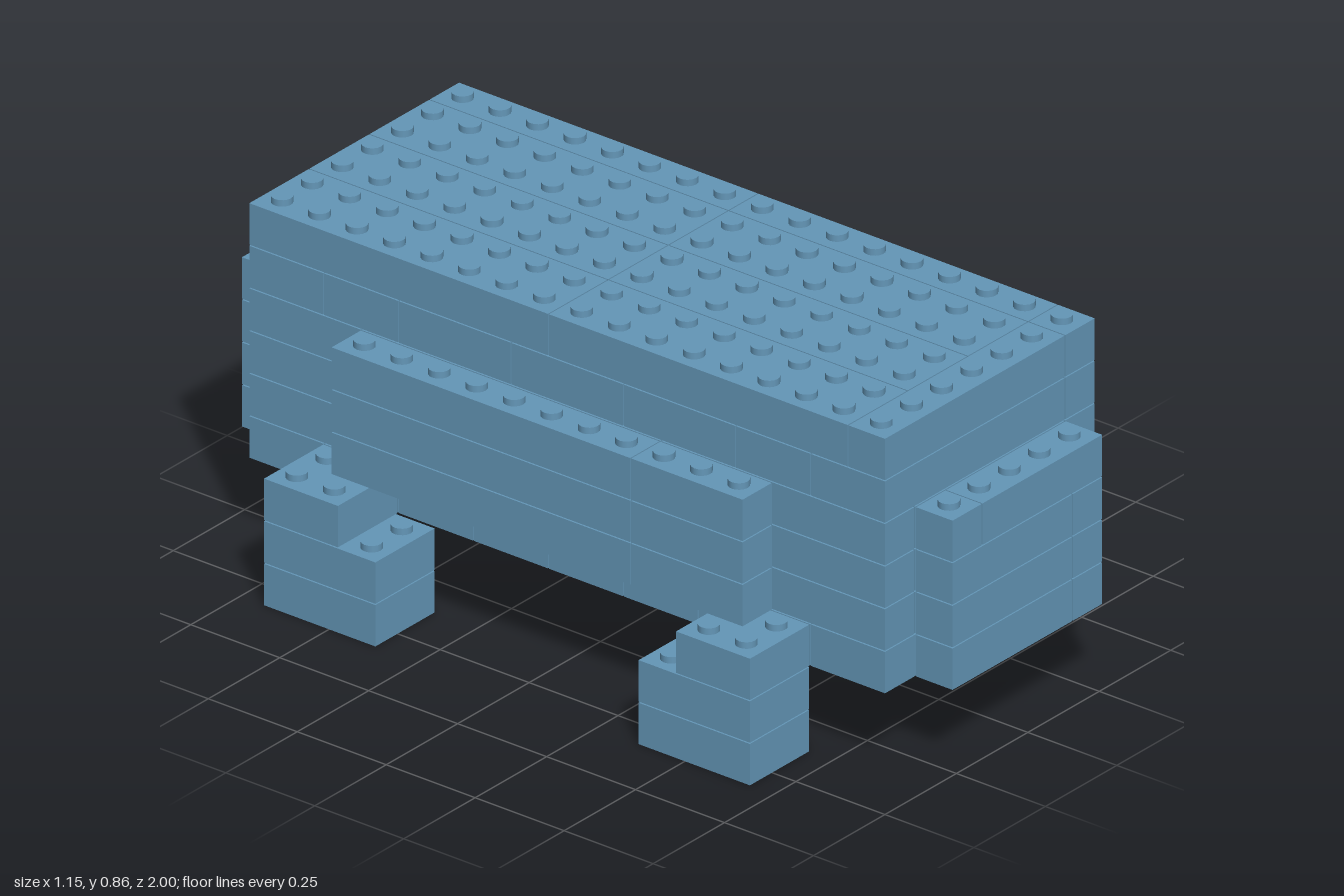
import * as THREE from 'three';
import { mergeGeometries } from 'three/addons/utils/BufferGeometryUtils.js';

const U = 2 / 19;        // one stud pitch, also one brick height
const GAP = 0.003;       // seam between bricks
const STUD_R = 0.025, STUD_H = 0.016;

export function createModel() {
  const model = new THREE.Group();
  const blue = new THREE.MeshStandardMaterial({ color: 0x6497b8 });
  blue.name = 'steel blue';

  const parts = {};               // part name -> list of bricks
  const filled = new Set();       // occupied cells, to find exposed studs
  const key = (x, layer, z) => `${x},${layer},${z}`;

  // a brick spans x0..x1 and z0..z1 in studs, on one layer
  function brick(part, layer, x0, x1, z0, z1) {
    (parts[part] ??= []).push({ layer, x0, x1, z0, z1 });
    for (let x = x0 + 0.5; x < x1; x++)
      for (let z = z0 + 0.5; z < z1; z++) filled.add(key(x, layer, z));
  }
  // a grid of bricks between lists of cuts
  function bricks(part, layer, xs, zs) {
    for (let i = 0; i + 1 < xs.length; i++)
      for (let j = 0; j + 1 < zs.length; j++)
        brick(part, layer, xs[i], xs[i + 1], zs[j], zs[j + 1]);
  }

  // main body, layers 2 to 5
  bricks('floor', 2, [-3.5, 2.5], [-8.5, -6.5, -4.5, -2.5, -0.5, 1.5, 3.5, 4.5, 6.5, 8.5]);
  bricks('floor', 2, [2.5, 3.5], [-8.5, -4.5, 4.5, 8.5]);
  for (let layer = 3; layer <= 5; layer++) {
    const shift = layer % 2 ? 0 : 2;
    bricks('body', layer, [-3.5, -2.5, 2.5, 3.5], [-8.5, -5.5 + shift, 2.5, 8.5]);
  }

  // upper body and studded roof
  bricks('upperBody', 6, [-3.5, 2.5, 3.5], [-8.5, -6.5, -4.5, -1.5, 1.5, 4.5, 6.5, 8.5]);
  bricks('roof', 7, [-3.5, -1.5, 0.5, 2.5, 3.5], [-8.5, -0.5, 7.5]);
  bricks('roof', 7, [-3.5, 2.5, 3.5], [7.5, 8.5]);

  // front and back blocks
  for (let layer = 2; layer <= 5; layer++) {
    const xs = [-2.5, layer === 5 ? -1.5 : 1.5, 2.5];
    bricks('frontBlock', layer, xs, [8.5, 9.5]);
    bricks('backBlock', layer, xs, [-9.5, -8.5]);
  }

  // side ledges and feet, mirrored left and right
  for (const [side, s] of [['left', 1], ['right', -1]]) {
    const span = (a, b) => (s > 0 ? [a, b] : [-b, -a]);
    for (let layer = 3; layer <= 5; layer++)
      bricks(side + 'Ledge', layer, span(3.5, 4.5), [-5.5, 2.5, 5.5]);
    for (const [end, e] of [['Front', 1], ['Back', -1]]) {
      const name = side + end + 'Foot';
      const depth = (a, b) => (e > 0 ? [a, b] : [-b, -a]);
      for (let layer = 0; layer <= 1; layer++)
        bricks(name, layer, span(3.5, 5.5), depth(3.5, 6.5));
      bricks(name, 2, span(3.5, 5.5), depth(4.5, 6.5));
    }
  }

  // one mesh of bricks and one of exposed studs for each part
  const stud = new THREE.CylinderGeometry(STUD_R, STUD_R, STUD_H + GAP, 16);
  for (const [name, list] of Object.entries(parts)) {
    const group = new THREE.Group();
    group.name = name;
    const boxes = [], studs = [];
    for (const { layer, x0, x1, z0, z1 } of list) {
      const box = new THREE.BoxGeometry((x1 - x0) * U - GAP, U - GAP, (z1 - z0) * U - GAP);
      boxes.push(box.translate((x0 + x1) / 2 * U, (layer + 0.5) * U - GAP / 2, (z0 + z1) / 2 * U));
      for (let x = x0 + 0.5; x < x1; x++)
        for (let z = z0 + 0.5; z < z1; z++)
          if (!filled.has(key(x, layer + 1, z)))
            studs.push(stud.clone().translate(x * U, (layer + 1) * U - GAP + (STUD_H - GAP) / 2, z * U));
    }
    const addMesh = (label, geometries) => {
      if (!geometries.length) return;
      const mesh = new THREE.Mesh(mergeGeometries(geometries), blue);
      mesh.name = label;
      group.add(mesh);
    };
    addMesh(name + 'Bricks', boxes);
    addMesh(name + 'Studs', studs);
    model.add(group);
  }
  return model;
}
